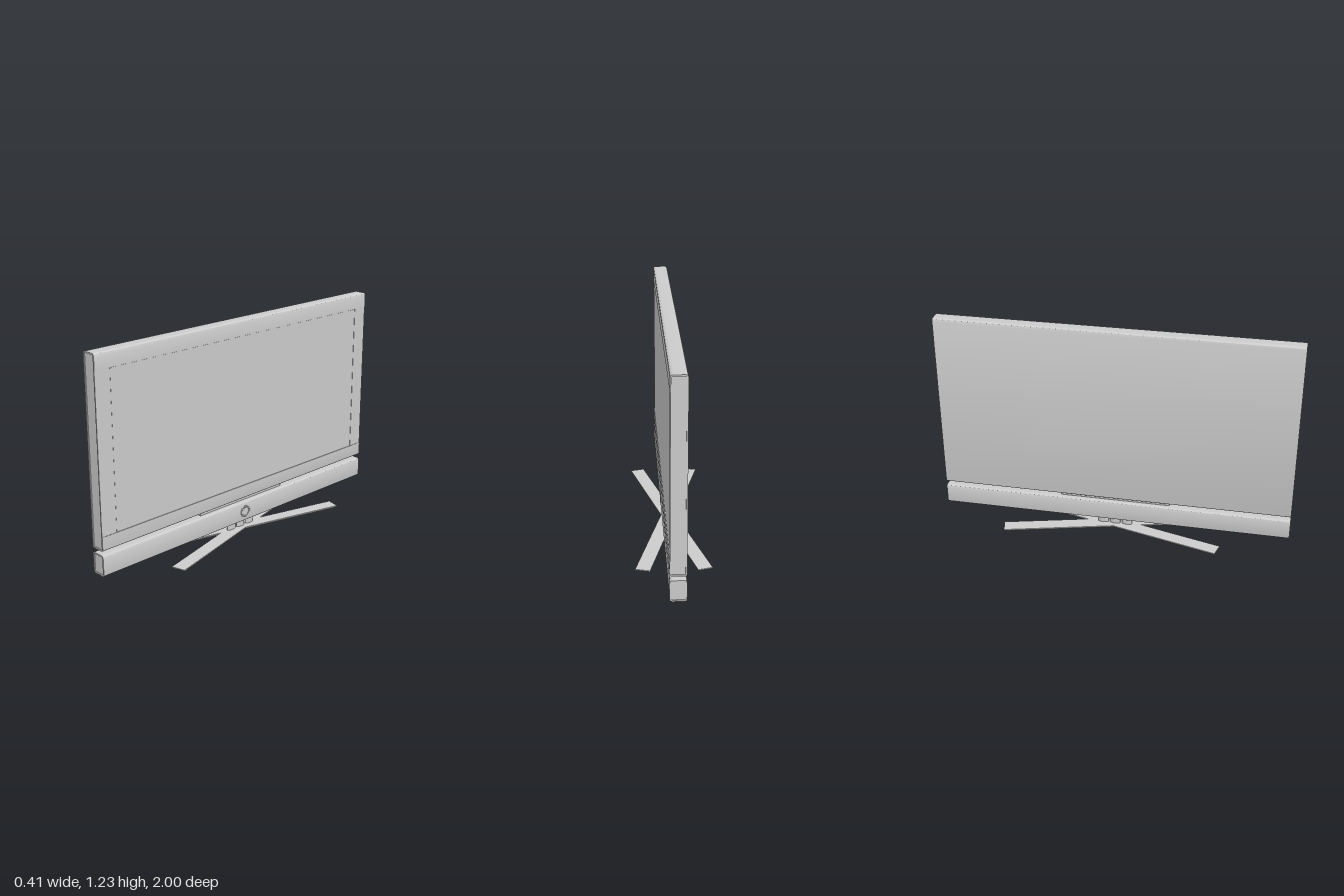
import * as THREE from 'three';
import { toCreasedNormals } from 'three/addons/utils/BufferGeometryUtils.js';

const grey = new THREE.MeshStandardMaterial({ color: 0xcccccc });
const HALF = 0.0425; // half depth of both housings

function add(parent, name, geometry, x = 0, y = 0, z = 0) {
  const mesh = new THREE.Mesh(geometry, grey);
  mesh.name = name;
  mesh.position.set(x, y, z);
  parent.add(mesh);
  return mesh;
}

// Rounded upright outline; an optional notch [y0, y1, depth] steps the +x side in
function outline(target, h, y0, y1, r, notch) {
  target.moveTo(-h + r, y0);
  target.lineTo(h - r, y0);
  target.quadraticCurveTo(h, y0, h, y0 + r);
  if (notch) {
    const [a, b, d] = notch;
    target.lineTo(h, a);
    target.lineTo(h - d, a);
    target.lineTo(h - d, b);
    target.lineTo(h, b);
  }
  target.lineTo(h, y1 - r);
  target.quadraticCurveTo(h, y1, h - r, y1);
  target.lineTo(-h + r, y1);
  target.quadraticCurveTo(-h, y1, -h, y1 - r);
  target.lineTo(-h, y0 + r);
  target.quadraticCurveTo(-h, y0, -h + r, y0);
  return target;
}

function extrude(shape, depth) {
  const g = new THREE.ExtrudeGeometry(shape, { depth, bevelEnabled: false, curveSegments: 6 });
  return toCreasedNormals(g, 0.6);
}

// Long housing with a raised rim around each recessed end
function housing(name, y0, y1, notch) {
  const group = new THREE.Group();
  group.name = name;
  const rim = 0.008, lip = 0.005, r = 0.016;
  const body = outline(new THREE.Shape(), HALF, y0, y1, r, notch);
  add(group, name + 'Body', extrude(body, 2 - 2 * lip), 0, 0, -1 + lip);
  const ring = outline(new THREE.Shape(), HALF, y0, y1, r, notch);
  ring.holes.push(outline(new THREE.Path(), HALF - rim, y0 + rim, y1 - rim, r - rim));
  for (const z of [-1, 1 - lip]) add(group, name + 'EndRim', extrude(ring, lip), 0, 0, z);
  return group;
}

// Foot bar: top plate over a slightly smaller tapered underside
function footBar(angle) {
  const bar = new THREE.Group();
  bar.name = 'footBar';
  add(bar, 'footTop', new THREE.BoxGeometry(0.08, 0.006, 1.276), 0, 0.015, 0);
  const under = new THREE.BoxGeometry(0.076, 0.012, 1.27);
  const p = under.attributes.position;
  for (let i = 0; i < p.count; i++) {
    if (p.getY(i) < 0) p.setXYZ(i, p.getX(i) * 0.75, p.getY(i), p.getZ(i) * 0.98);
  }
  under.computeVertexNormals();
  add(bar, 'footUnderside', under, 0, 0.006, 0);
  bar.rotation.y = angle;
  bar.position.z = -0.005;
  return bar;
}

export function createModel() {
  const model = new THREE.Group();
  model.name = 'television';

  // Screen housing, with the display and side panels set into the +x face
  const low = 0.28, high = 1.145, step = 0.004;
  const screen = housing('screenHousing', 0.2, 1.227, [low, high, step]);
  model.add(screen);
  for (const s of [-1, 1]) {
    add(screen, 'sidePanel', new THREE.BoxGeometry(0.004, high - low, 0.09),
      HALF - step, (low + high) / 2, s * 0.955);
  }
  add(screen, 'display', new THREE.BoxGeometry(0.002, high - low - 0.008, 1.812),
    HALF - step, (low + high) / 2, 0);

  // Speaker bar and the neck joining it to the screen
  const speaker = housing('speakerBar', 0.06, 0.177);
  model.add(speaker);
  add(model, 'neck', new THREE.BoxGeometry(0.025, 0.04, 0.63), 0, 0.188, 0);

  // Round control: raised ring with a small inner disc
  const profile = [[0.025, 0], [0.025, 0.0015], [0.027, 0.003], [0.033, 0.003], [0.035, 0.0015], [0.035, 0]]
    .map(([x, y]) => new THREE.Vector2(x, y));
  const ring = add(speaker, 'controlRing',
    toCreasedNormals(new THREE.LatheGeometry(profile.reverse(), 40), 0.5), HALF - 0.0005, 0.119, 0);
  ring.material = new THREE.MeshStandardMaterial({ color: 0xcccccc, side: THREE.DoubleSide });
  ring.rotation.z = -Math.PI / 2;
  const disc = add(speaker, 'controlDisc', new THREE.CylinderGeometry(0.023, 0.023, 0.002, 40), HALF, 0.119, 0);
  disc.rotation.z = -Math.PI / 2;

  // Three oval posts on a crossed foot
  for (const z of [-0.07, 0, 0.07]) {
    const post = add(model, 'post', new THREE.CylinderGeometry(0.03, 0.03, 0.05, 32), 0, 0.04, z);
    post.scale.x = 0.38;
  }
  for (const s of [-1, 1]) model.add(footBar(s * 0.26));

  return model;
}
